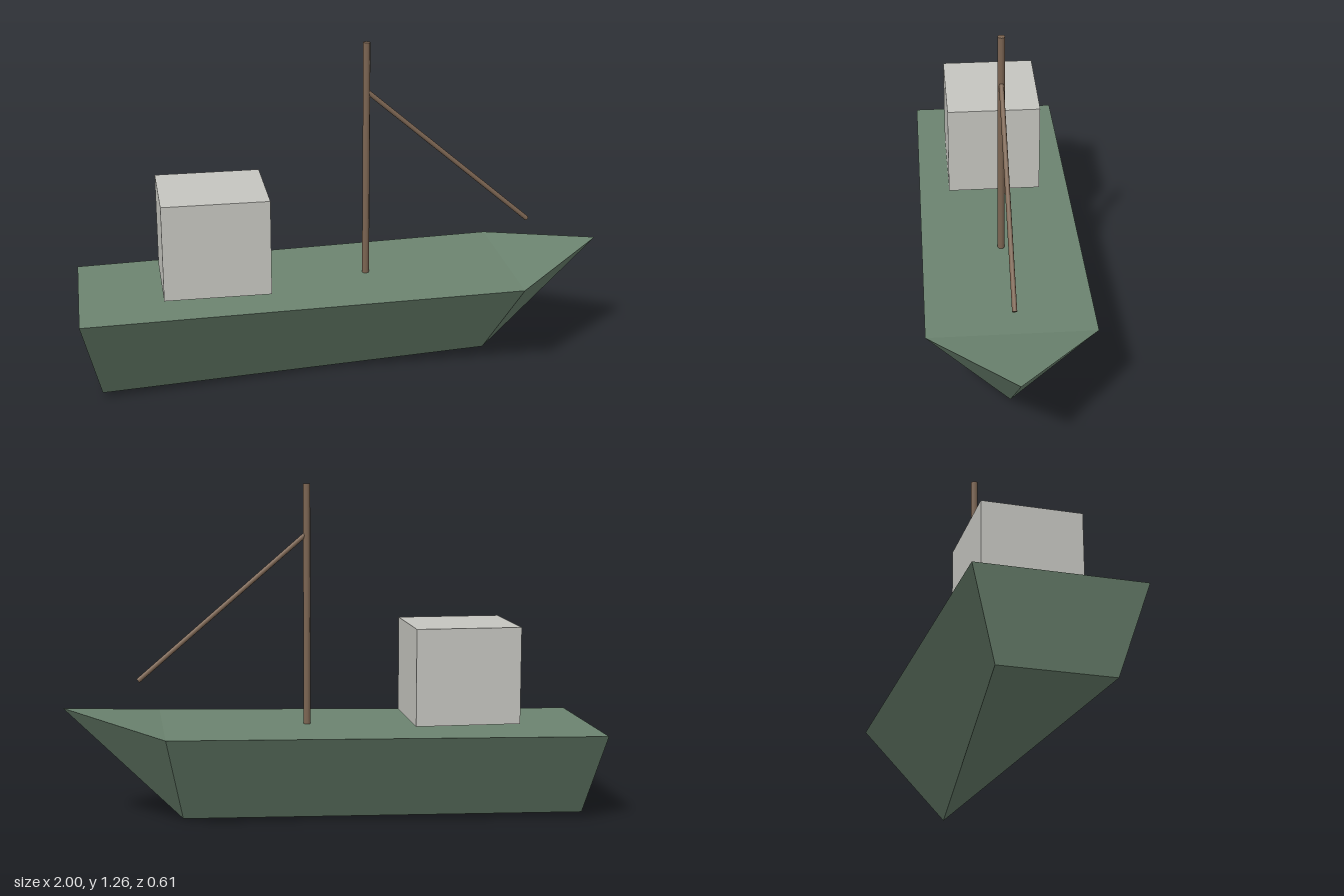
import * as THREE from 'three';

const material = (name, color) => {
  const m = new THREE.MeshStandardMaterial({ color });
  m.name = name;
  return m;
};

// Flat polygons fanned from their first corner, with one shared normal each
function facetGeometry(faces) {
  const positions = [];
  const normals = [];
  for (const face of faces) {
    const normal = new THREE.Vector3();
    for (let i = 1; i < face.length - 1; i++) {
      const [a, b, c] = [face[0], face[i], face[i + 1]].map((p) => new THREE.Vector3(...p));
      positions.push(...a.toArray(), ...b.toArray(), ...c.toArray());
      normal.add(b.sub(a).cross(c.sub(a)));
    }
    normal.normalize();
    for (let i = 0; i < (face.length - 2) * 3; i++) normals.push(...normal.toArray());
  }
  const geometry = new THREE.BufferGeometry();
  geometry.setAttribute('position', new THREE.Float32BufferAttribute(positions, 3));
  geometry.setAttribute('normal', new THREE.Float32BufferAttribute(normals, 3));
  return geometry;
}

// Round spar between two points
function spar(name, from, to, radius, mat) {
  const a = new THREE.Vector3(...from);
  const b = new THREE.Vector3(...to);
  const mesh = new THREE.Mesh(new THREE.CylinderGeometry(radius, radius, a.distanceTo(b), 8), mat);
  mesh.name = name;
  mesh.position.copy(a).add(b).multiplyScalar(0.5);
  mesh.quaternion.setFromUnitVectors(new THREE.Vector3(0, 1, 0), b.sub(a).normalize());
  return mesh;
}

export function createModel() {
  const boat = new THREE.Group();
  boat.name = 'boat';
  const green = material('hull green', 0x6c8470);
  const grey = material('cabin grey', 0xc6c6c0);
  const wood = material('mast brown', 0x7d6653);

  // Hull corners, with the far side mirrored in z
  const mirror = ([x, y, z]) => [x, y, -z];
  const sternTop = [-1, 0.33, 0.292];
  const sternLow = [-0.93, 0.023, 0.2];
  const shoulder = [0.635, 0.365, 0.307];
  const keel = [0.562, 0, 0];
  const tip = [1, 0.436, 0];
  const side = [sternTop, sternLow, keel, shoulder];
  const bow = [keel, tip, shoulder];
  const flip = (face) => [face[0], ...face.slice(1).reverse()].map(mirror);

  const hull = new THREE.Mesh(facetGeometry([
    side, flip(side),
    bow, flip(bow),
    [keel, sternLow, mirror(sternLow)],
    [sternTop, mirror(sternTop), mirror(sternLow), sternLow],
  ]), green);
  hull.name = 'hull';

  const deck = new THREE.Mesh(facetGeometry([
    [sternTop, shoulder, mirror(shoulder), mirror(sternTop)],
    [shoulder, tip, mirror(shoulder)],
  ]), green);
  deck.name = 'deck';

  // Deckhouse, set just clear of the deck
  const cabin = new THREE.Mesh(new THREE.BoxGeometry(0.396, 0.364, 0.362), grey);
  cabin.name = 'cabin';
  cabin.position.set(-0.492, 0.547, 0);

  // Mast and its sloping boom
  boat.add(
    hull, deck, cabin,
    spar('mast', [0.09, 0.345, 0], [0.09, 1.257, 0], 0.0135, wood),
    spar('boom', [0.09, 1.073, 0], [0.722, 0.532, 0], 0.009, wood),
  );
  return boat;
}
